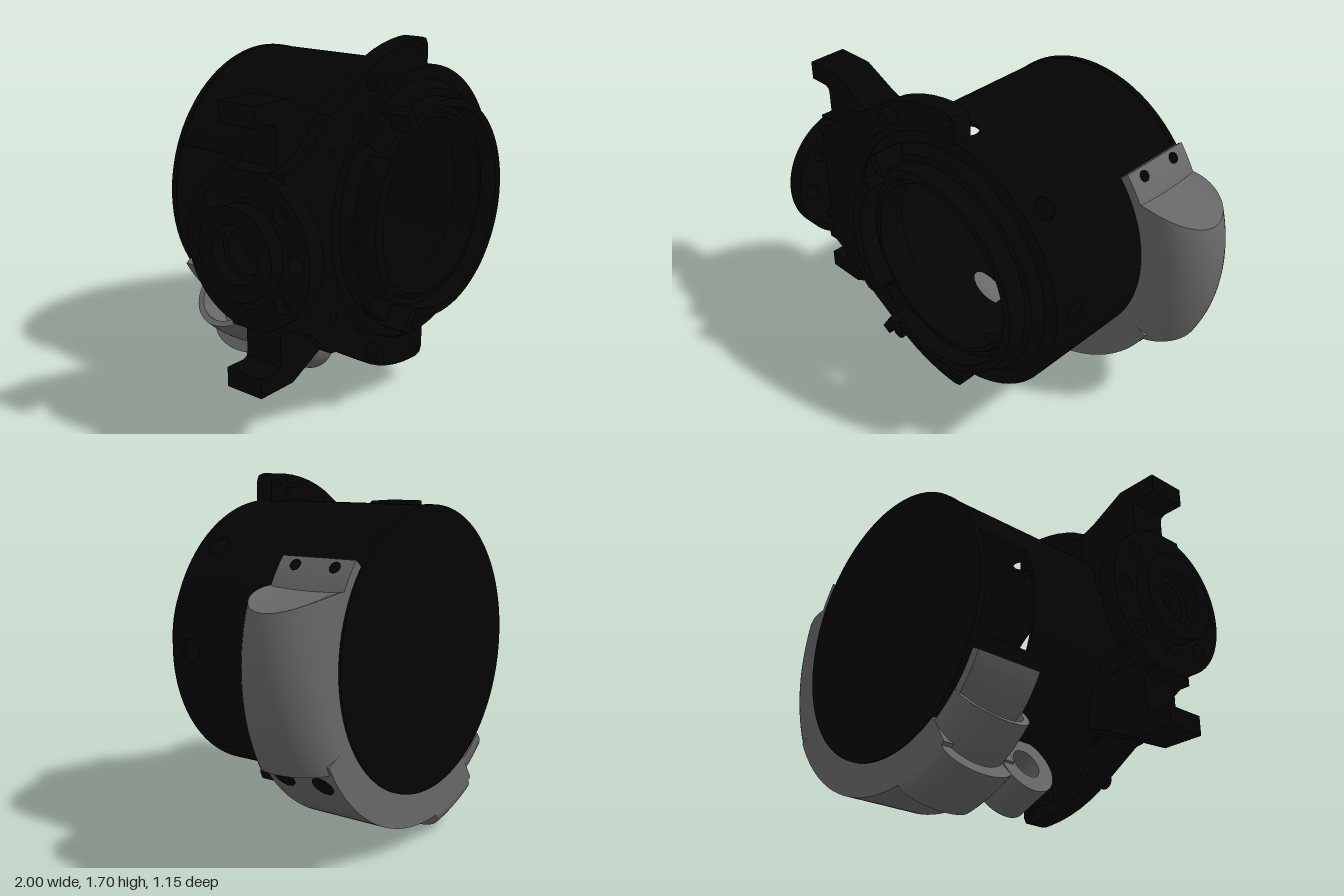
import * as THREE from 'three';

const CX = 0.065, CY = 0.915, R = 0.655, RI = 0.638; // barrel axis and radii
const RAD = Math.PI / 180;
const black = new THREE.MeshStandardMaterial({ color: 0x040404 });
const blackOpen = new THREE.MeshStandardMaterial({ color: 0x040404, side: THREE.DoubleSide });
const grey = new THREE.MeshStandardMaterial({ color: 0x686868 });

export function createModel() {
  const model = new THREE.Group();

  function add(name, geometry, material = black) {
    const mesh = new THREE.Mesh(geometry, material);
    mesh.name = name;
    model.add(mesh);
    return mesh;
  }

  // Moves every vertex by a rule that takes the unit box coordinates (0..1)
  function mapped(geo, rule) {
    const p = geo.attributes.position;
    for (let i = 0; i < p.count; i++) {
      p.setXYZ(i, ...rule(p.getX(i) + 0.5, p.getY(i) + 0.5, p.getZ(i) + 0.5));
    }
    geo.computeVertexNormals();
    return geo;
  }
  const polar = (deg, z, r) => [CX + r * Math.cos(deg * RAD), CY + r * Math.sin(deg * RAD), z];

  // Solid block bent around the barrel axis; bulge rounds its outer face,
  // the slants turn its end faces (degrees from r0 to r1)
  function bent(a0, a1, z0, z1, r0, r1, bulge = 0, slant0 = 0, slant1 = 0) {
    const segs = Math.max(2, Math.ceil((a1 - a0) / 3));
    return mapped(new THREE.BoxGeometry(1, 1, 1, segs, bulge ? 24 : 1, 1), (u, v, w) => {
      const s = bulge ? -Math.cos(v * Math.PI) : 2 * v - 1;
      const top = r1 - bulge + bulge * Math.sqrt(Math.max(0, 1 - s * s));
      const r = r0 + (top - r0) * w, k = (r - r0) / (r1 - r0);
      const start = a0 + slant0 * k, end = a1 + slant1 * k;
      return polar(start + (end - start) * u, z0 + (z1 - z0) * (s + 1) / 2, r);
    });
  }

  // Bent wall panel, 45 degrees wide, with a round hole in its middle
  function holedPanel(mid, zMid, halfZ, hole) {
    return mapped(new THREE.BoxGeometry(1, 1, 1, 48, 6, 1), (u, v, w) => {
      const a = -u * 2 * Math.PI, c = Math.cos(a), s = Math.sin(a);
      const halfU = 22.5, k = Math.max(Math.abs(c), Math.abs(s));
      const du = hole / R / RAD * c * (1 - v) + halfU * c / k * v;
      const dz = hole * s * (1 - v) + halfZ * s / k * v;
      return polar(mid + du, zMid + dz, RI + (R - RI) * w);
    });
  }

  const extrude = (shape, depth) =>
    new THREE.ExtrudeGeometry(shape, { depth, bevelEnabled: false, curveSegments: 48 });
  const circlePath = (x, y, r) => new THREE.Path().absarc(x, y, r, 0, Math.PI * 2, true);
  const polygon = pts => new THREE.Shape(pts.map(p => new THREE.Vector2(...p)));
  const flip = pts => pts.map(([x, y]) => [x, 2 * CY - y]);

  // Barrel wall with a window on one side and a row of round holes
  add('barrelWallRear', bent(-157, 157, -0.55, -0.26, RI, R));
  add('barrelWallMiddle', bent(0, 360, -0.26, 0.2, RI, R));
  for (const a of [-90, -45, 0, 45, 90, 180]) {
    add('barrelHolePanel', holedPanel(a, 0.275, 0.075, 0.053));
  }
  for (const a of [135, 225]) add('barrelPanel', bent(a - 22.5, a + 22.5, 0.2, 0.35, RI, R));
  add('barrelWallFront', bent(0, 360, 0.35, 0.39, RI, R));
  const cap = new THREE.CylinderGeometry(R + 0.003, R + 0.003, 0.03, 96).rotateX(Math.PI / 2);
  add('backCap', cap).position.set(CX, CY, -0.565);

  // Stepped front rim
  const rim = [[0.64, 0.36], [0.655, 0.39], [0.585, 0.39], [0.55, 0.44], [0.515, 0.44], [0.49, 0.45],
    [0.45, 0.45], [0.44, 0.47], [0.42, 0.47], [0.42, 0.33], [0.5, 0.33], [0.64, 0.36]];
  const rimMesh = add('frontRim', new THREE.LatheGeometry(
    rim.map(p => new THREE.Vector2(...p)), 96).rotateX(Math.PI / 2).toNonIndexed(), blackOpen);
  rimMesh.geometry.computeVertexNormals();
  rimMesh.position.set(CX, CY, 0);

  // Raised collar, open at two notches which hold clips
  add('frontCollar', bent(-119, 119, 0.42, 0.537, 0.475, 0.515));
  add('frontCollarSide', bent(142, 218, 0.42, 0.547, 0.475, 0.53));
  for (const side of [1, -1]) {
    const a = 131.5 * side, tooth = 121.5 * side;
    add('collarClip', bent(a - 8, a + 8, 0.4, 0.45, 0.475, 0.58));
    add('clipTooth', bent(tooth - 2.5, tooth + 2.5, 0.42, 0.565, 0.49, 0.6));
  }

  // Flange: upper half outline, mirrored below, with an arc cut out for the barrel
  const upper = [[0.115, 1.56], [0.115, 1.66], [0.1, 1.69], [0.065, 1.7]];
  for (let a = 93; a <= 118; a += 5) upper.push(polar(a, 0, 0.785).slice(0, 2));
  upper.push([-0.55, 1.455], [-0.59, 1.45], [-0.72, 1.32], [-0.83, 1.26], [-0.88, 1.26]);
  const inner = [];
  for (let a = 265; a >= 95; a -= 5) inner.push(polar(a, 0, 0.645).slice(0, 2));
  const flange = polygon([...upper, ...flip(upper).reverse(), ...inner]);
  for (const [x, y] of [[0.065, 1.65], [-0.3, 1.55], [-0.57, 1.28]]) {
    flange.holes.push(circlePath(x, y, 0.021), circlePath(x, 2 * CY - y, 0.021));
  }
  flange.holes.push(circlePath(-0.67, CY, 0.021));
  const slot = [[-0.44, 1.37], [-0.425, 1.357], [-0.372, 1.415], [-0.383, 1.427]];
  for (const pts of [slot, flip(slot)]) {
    flange.holes.push(new THREE.Path(pts.map(p => new THREE.Vector2(...p))));
  }
  add('flange', extrude(flange, 0.095)).position.z = 0.305;

  // Raised rings on the flange and ramps behind its end tabs
  const ring = new THREE.Shape().absarc(0, 0, 0.04, 0, Math.PI * 2);
  ring.holes.push(circlePath(0, 0, 0.021));
  const ramp = [[0.24, 1.55], [0.31, 1.55], [0.31, 1.63], [0.3, 1.63], [0.24, 1.572]];
  for (const y of [1.545, 2 * CY - 1.545]) {
    add('flangeRing', extrude(ring, 0.05)).position.set(-0.3, y, 0.4);
  }
  for (const pts of [ramp, flip(ramp)]) {
    add('tabRamp', extrude(polygon(pts), 0.1).rotateY(-Math.PI / 2)).position.x = 0.01;
  }

  // Arms, set slightly behind the flange, and neck plates carrying the pivot
  const arm = [[-0.5, 1.42], [-0.59, 1.45], [-0.77, 1.54], [-0.97, 1.54], [-0.97, 1.45],
    [-0.87, 1.45], [-0.85, 1.44], [-0.845, 1.42], [-0.845, 1.3], [-0.855, 1.27], [-0.88, 1.26],
    [-0.93, 1.26], [-0.93, 1.17], [-0.6, 1.15], [-0.5, 1.3]];
  for (const pts of [arm, flip(arm)]) add('arm', extrude(polygon(pts), 0.195)).position.z = 0.14;
  const neck = polygon([[-0.86, -0.06], [-0.54, -0.18], [-0.54, -0.39], [-0.86, -0.39]]);
  for (const y of [1.1, 0.63]) {
    add('neckPlate', extrude(neck, 0.1).rotateX(-Math.PI / 2)).position.y = y;
  }

  // Pivot disc and boss, facing sideways
  function pivotPart(name, r, bore, x, depth, holes = 0) {
    const disc = new THREE.Shape().absarc(0, 0, r, 0, Math.PI * 2);
    disc.holes.push(circlePath(0, 0, bore));
    for (let i = 0; i < holes; i++) {
      const a = i * 2 * Math.PI / holes;
      disc.holes.push(circlePath(0.27 * Math.cos(a), 0.27 * Math.sin(a), 0.04));
    }
    add(name, extrude(disc, depth).rotateY(-Math.PI / 2)).position.set(x, CY, 0.23);
  }
  pivotPart('pivotDisc', 0.345, 0.1, -0.845, 0.085, 8);
  pivotPart('pivotBoss', 0.205, 0.13, -0.93, 0.07);

  // Grey guard wrapped around the rear of the barrel, with a thin lug at both ends
  const Z0 = -0.57, Z1 = -0.18;
  add('guardTopLug', bent(22, 40, Z0, Z1, 0.65, 0.702), grey);
  add('guardBottomLug', bent(-151, -118, Z0 + 0.02, Z1 - 0.02, 0.657, 0.702), grey);
  add('guardCover', bent(-38, 31, Z0, Z1, 0.65, 0.935, 0.195, 11.5, -15), grey);
  add('guardBand', bent(-121, -28, Z0, Z1, 0.65, 0.815), grey);
  add('guardFoot', bent(-119.5, -91, Z0, Z1, 0.65, 0.933, 0.115, 0, -11), grey);

  // Hollow half-round end of the guard
  add('guardTail', mapped(new THREE.BoxGeometry(1, 1, 1, 6, 24, 1), (u, v, w) => {
    const r = 0.165 + 0.03 * w, a = v * Math.PI;
    return polar(-134.6 + 16.6 * u, -0.375 - r * Math.cos(a), 0.682 + r * Math.sin(a));
  }), grey);

  // Screw recesses in the guard
  for (const [a, r, size] of [[36.5, 0.699, 0.027], [-37.5, 0.811, 0.053]]) {
    for (const z of [-0.27, -0.48]) {
      const screw = add('screwRecess', new THREE.CylinderGeometry(size, size, 0.012, 24));
      screw.position.set(...polar(a, z, r));
      screw.rotation.z = (a - 90) * RAD;
    }
  }

  // Cable tube beside the foot of the guard
  const tube = new THREE.Shape().absarc(0, 0, 0.15, 0, Math.PI * 2);
  tube.holes.push(circlePath(0, 0, 0.072));
  const tubeMesh = add('cableTube',
    extrude(tube, 0.2).translate(0, 0, -0.1).rotateY(Math.PI / 2), grey);
  tubeMesh.position.set(-0.24, 0.2, -0.09);
  tubeMesh.rotation.z = -22 * RAD;

  return model;
}
